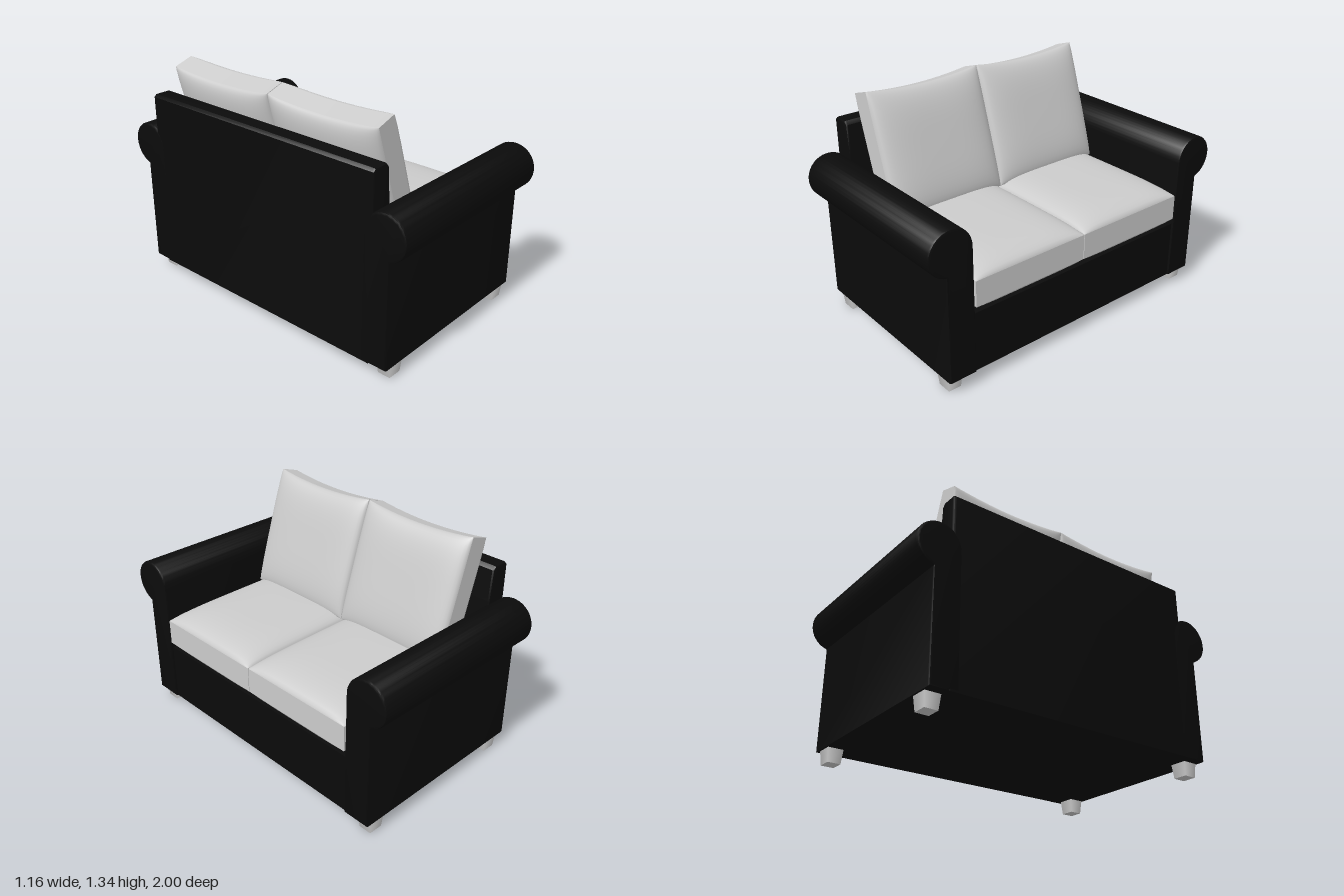
import * as THREE from 'three';
import { toCreasedNormals } from 'three/addons/utils/BufferGeometryUtils.js';

const dark = new THREE.MeshStandardMaterial({ color: 0x0b0b0b });
const grey = new THREE.MeshStandardMaterial({ color: 0xcccccc });

function add(parent, name, geometry, material, x = 0, y = 0, z = 0) {
  const mesh = new THREE.Mesh(geometry, material);
  mesh.name = name;
  mesh.position.set(x, y, z);
  parent.add(mesh);
  return mesh;
}

// Extrusion centred on its own z, with small softened ends
function softExtrude(points, length, bevel) {
  const geo = new THREE.ExtrudeGeometry(new THREE.Shape(points), {
    depth: length - 2 * bevel, bevelEnabled: true, bevelThickness: bevel,
    bevelSize: bevel, bevelOffset: -bevel, bevelSegments: 2,
  });
  geo.translate(0, 0, bevel - length / 2);
  return toCreasedNormals(geo, 0.6);
}

// Arm section: upright panel carrying an outward roll, side = +1 or -1
function armGeometry(side) {
  const cz = 0.87, cy = 0.825, r = 0.13;
  const points = [[0.735, 0.08], [0.9, 0.08]];
  for (let i = 0; i <= 32; i++) {
    const a = THREE.MathUtils.lerp(-1.335, Math.PI, i / 32);
    points.push([cz + r * Math.cos(a), cy + r * Math.sin(a)]);
  }
  const outline = points.map(([z, y]) => new THREE.Vector2(side * z, y));
  return softExtrude(outline, 1.165, 0.012).rotateY(-Math.PI / 2);
}

// Stuffed cushion: boxed border of half thickness t, domed on both x faces
function cushionGeometry(height, width, t, domeFront, domeBack, sag) {
  const geo = new THREE.BoxGeometry(2, 2, 2, 2, 24, 24);
  const p = geo.attributes.position;
  const puff = (u) => Math.sqrt(Math.max(0, 1 - u ** 4));
  for (let i = 0; i < p.count; i++) {
    const s = p.getX(i);
    const v = Math.sin(p.getY(i) * Math.PI / 2);
    const u = Math.sin(p.getZ(i) * Math.PI / 2);
    const dome = puff(u) * puff(v) * (s > 0 ? domeFront : domeBack);
    const dip = sag * (1 - u * u) * Math.max(0, v);
    p.setXYZ(i, s * (t + dome), v * height / 2 - dip, u * width / 2);
  }
  geo.computeVertexNormals();
  return geo;
}

export function createModel() {
  const sofa = new THREE.Group();
  sofa.name = 'sofa';

  // Base under the seat
  add(sofa, 'base', new THREE.BoxGeometry(1.12, 0.35, 1.5), dark, 0.005, 0.255, 0);

  // Backrest with a slightly sloping inner face
  const back = [[-0.585, 0.08], [-0.4, 0.08], [-0.455, 0.95], [-0.468, 1.13],
    [-0.485, 1.15], [-0.57, 1.15], [-0.585, 1.135]].map(([x, y]) => new THREE.Vector2(x, y));
  add(sofa, 'backrest', softExtrude(back, 1.6, 0.012), dark);

  for (const side of [1, -1]) {
    const label = side > 0 ? 'Left' : 'Right';
    add(sofa, 'arm' + label, armGeometry(side), dark, -0.003);

    // Seat cushion lies flat, back cushion leans on the backrest
    const seat = add(sofa, 'seatCushion' + label,
      cushionGeometry(0.98, 0.728, 0.075, 0.072, 0.05, 0), grey, 0.087, 0.545, side * 0.366);
    seat.rotation.z = Math.PI / 2;
    const rest = add(sofa, 'backCushion' + label,
      cushionGeometry(0.72, 0.728, 0.06, 0.06, 0.06, 0.025), grey, -0.3, 0.975, side * 0.366);
    rest.rotation.z = 0.31;

    // Tapered square feet
    for (const x of [0.49, -0.48]) {
      const foot = new THREE.CylinderGeometry(0.07, 0.058, 0.085, 4).rotateY(Math.PI / 4);
      foot.scale(1, 1, 0.92);
      add(sofa, 'foot' + label + (x > 0 ? 'Front' : 'Rear'), foot, grey, x, 0.0425, side * 0.845);
    }
  }
  return sofa;
}
